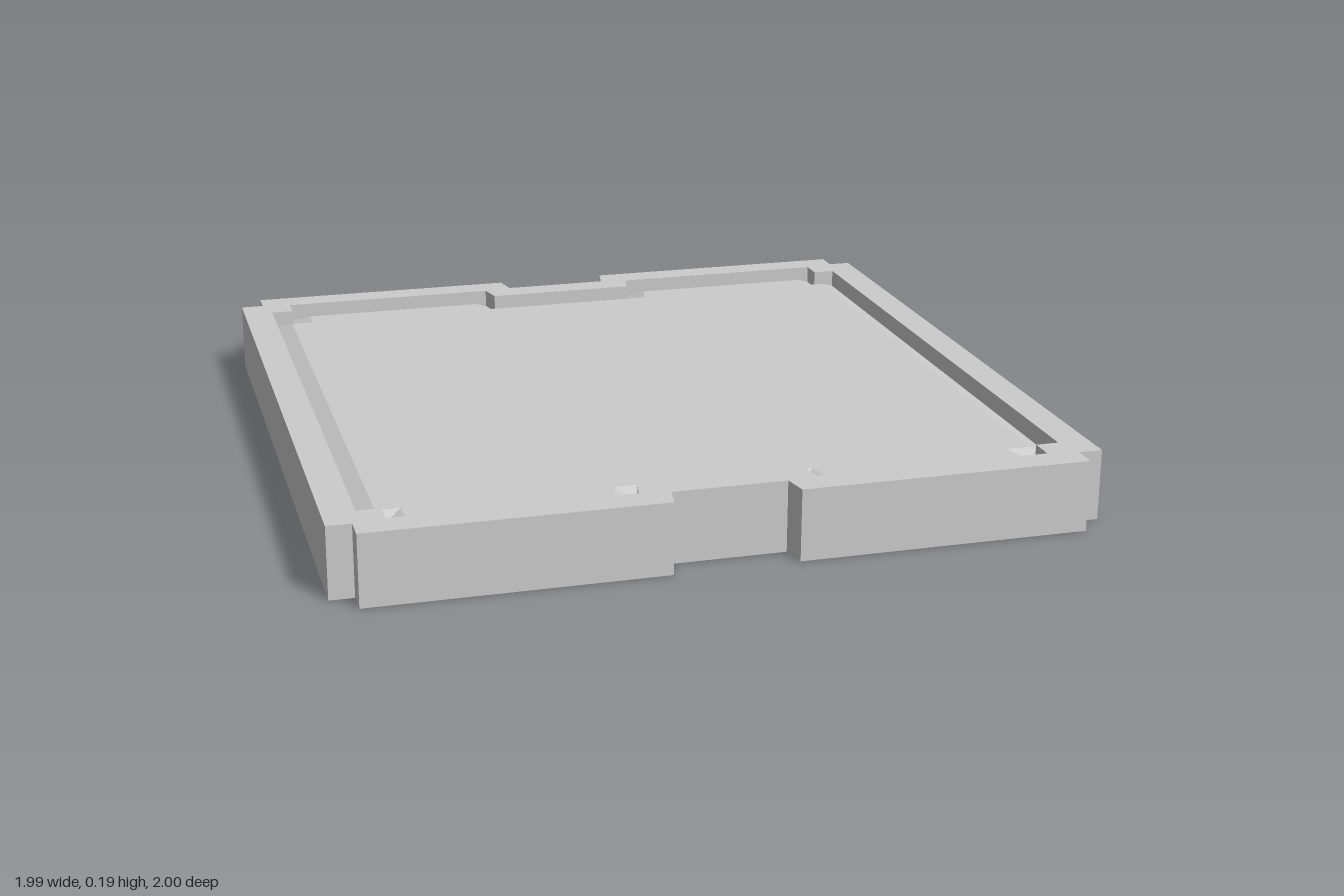
import * as THREE from 'three';

// Mirrors one quadrant (front middle round to the +x side) into a closed loop at height y
function ring(quadrant, y) {
  const back = [...quadrant].reverse();
  const place = (pts, sx, sz) => pts.map(([x, z]) => new THREE.Vector3(x * sx, y, z * sz));
  return [
    ...place(quadrant, 1, 1), ...place(back, 1, -1),
    ...place(quadrant, -1, -1), ...place(back, -1, 1),
  ];
}

// Joins successive loops with quads
function loft(loops) {
  const pos = [];
  for (let k = 0; k < loops.length - 1; k++) {
    const a = loops[k], b = loops[k + 1];
    for (let i = 0; i < a.length; i++) {
      const j = (i + 1) % a.length;
      for (const p of [a[i], a[j], b[j], a[i], b[j], b[i]]) pos.push(p.x, p.y, p.z);
    }
  }
  const geo = new THREE.BufferGeometry();
  geo.setAttribute('position', new THREE.Float32BufferAttribute(pos, 3));
  geo.computeVertexNormals();
  return geo;
}

// Flat face filling a loop, facing up or down
function cap(loop, up) {
  const shape = new THREE.Shape(loop.map((p) => new THREE.Vector2(p.x, up ? -p.z : p.z)));
  const geo = new THREE.ShapeGeometry(shape);
  geo.rotateX(up ? -Math.PI / 2 : Math.PI / 2);
  geo.translate(0, loop[0].y, 0);
  return geo;
}

export function createModel() {
  const group = new THREE.Group();
  group.name = 'tray';
  const material = new THREE.MeshStandardMaterial({ color: 0xcccccc, flatShading: true });
  const add = (name, geo) => {
    const mesh = new THREE.Mesh(geo, material);
    mesh.name = name;
    group.add(mesh);
  };

  // Quadrant outlines as [x, z]: middle notch, long edge, stepped corner
  const outer = [[0.15, 0.932], [0.163, 1], [0.932, 1], [0.932, 0.934], [0.996, 0.934]];
  const inner = [[0.215, 0.853], [0.23, 0.92], [0.85, 0.92], [0.85, 0.853], [0.912, 0.853]];
  const panel = [[0.26, 0.8], [0.274, 0.866], [0.795, 0.866], [0.795, 0.8], [0.858, 0.8]];

  const height = 0.19, grooveY = 0.14, panelY = 0.165;
  const bottom = ring(outer, 0);
  const rimInner = ring(inner, height);
  const groove = ring(inner, grooveY);
  const panelEdge = ring(panel, panelY);

  // Outer wall, flat rim and the wall down into the groove
  add('rim', loft([bottom, ring(outer, height), rimInner, groove]));
  // Slope rising from the groove to the raised panel
  add('panelBevel', loft([groove, panelEdge]));
  add('panelTop', cap(panelEdge, true));
  add('underside', cap(bottom, false));
  return group;
}
